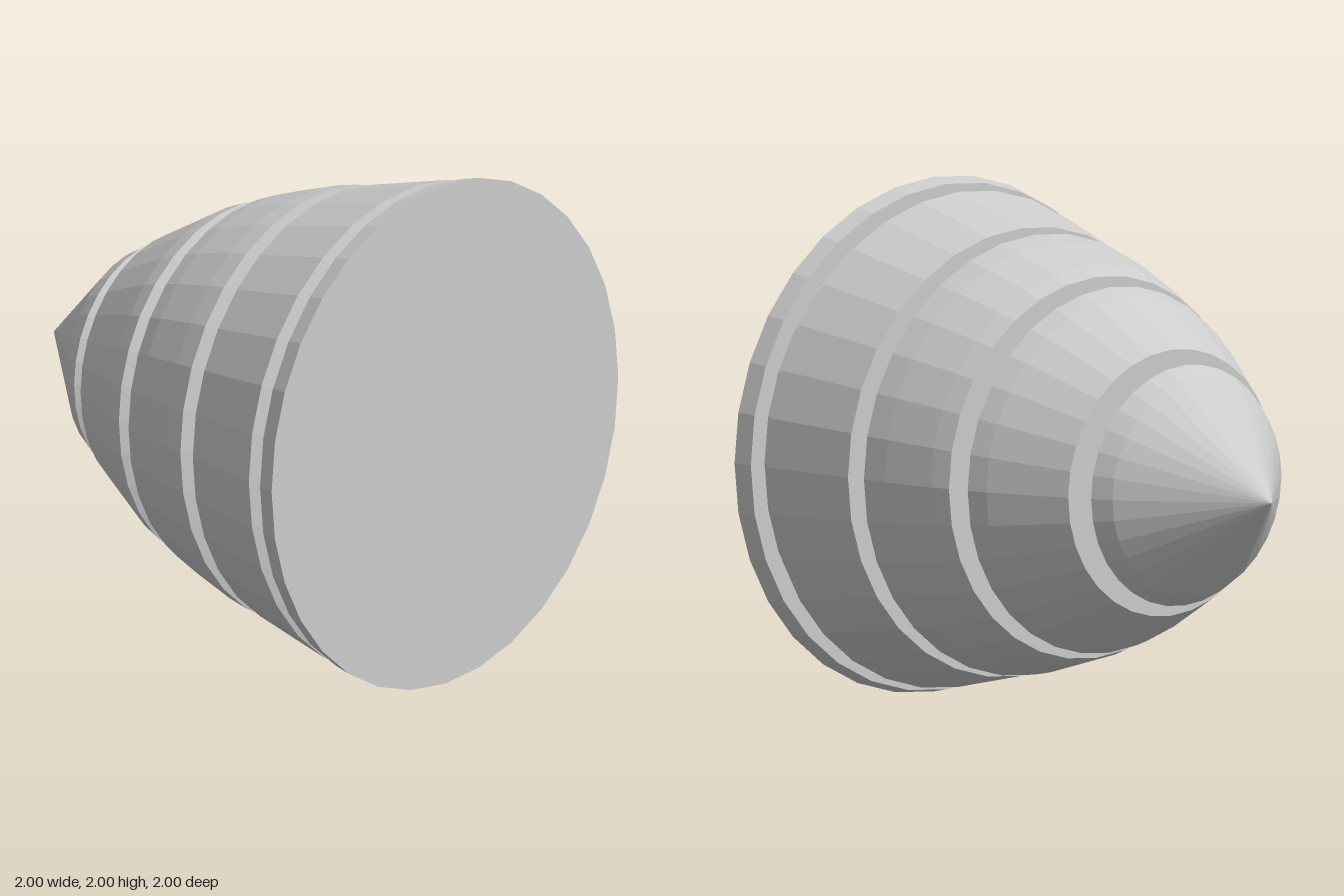
import * as THREE from 'three';

const SIDES = 32;

// Profile of each section as [position along x, radius], from tip to base
const sections = {
  tipCone: [[-1, 0], [-0.557, 0.424], [-0.482, 0.467]],
  tipGroove: [[-0.482, 0.467], [-0.428, 0.377], [-0.405, 0.39], [-0.405, 0.517]],
  firstBand: [[-0.405, 0.517], [-0.112, 0.68], [-0.038, 0.71]],
  firstGroove: [[-0.038, 0.71], [-0.002, 0.62], [0.038, 0.635], [0.038, 0.74]],
  secondBand: [[0.038, 0.74], [0.11, 0.77], [0.31, 0.833], [0.405, 0.855]],
  secondGroove: [[0.405, 0.855], [0.424, 0.77], [0.482, 0.784], [0.482, 0.87]],
  thirdBand: [[0.482, 0.87], [0.85, 0.962]],
  thirdGroove: [[0.85, 0.962], [0.867, 0.898], [0.925, 0.913], [0.925, 0.982]],
  baseRim: [[0.925, 0.982], [1, 1]],
  baseCap: [[1, 1], [1, 0]],
};

export function createModel() {
  const group = new THREE.Group();
  group.name = 'groovedCone';
  const material = new THREE.MeshStandardMaterial({ color: 0xcccccc, flatShading: true });

  for (const [name, profile] of Object.entries(sections)) {
    const points = profile.map(([x, r]) => new THREE.Vector2(r, x));
    const geometry = new THREE.LatheGeometry(points, SIDES);
    // Lay the turning axis along x, tip towards -x
    geometry.rotateZ(-Math.PI / 2);
    geometry.translate(0, 1, 0);
    const mesh = new THREE.Mesh(geometry, material);
    mesh.name = name;
    group.add(mesh);
  }
  return group;
}
